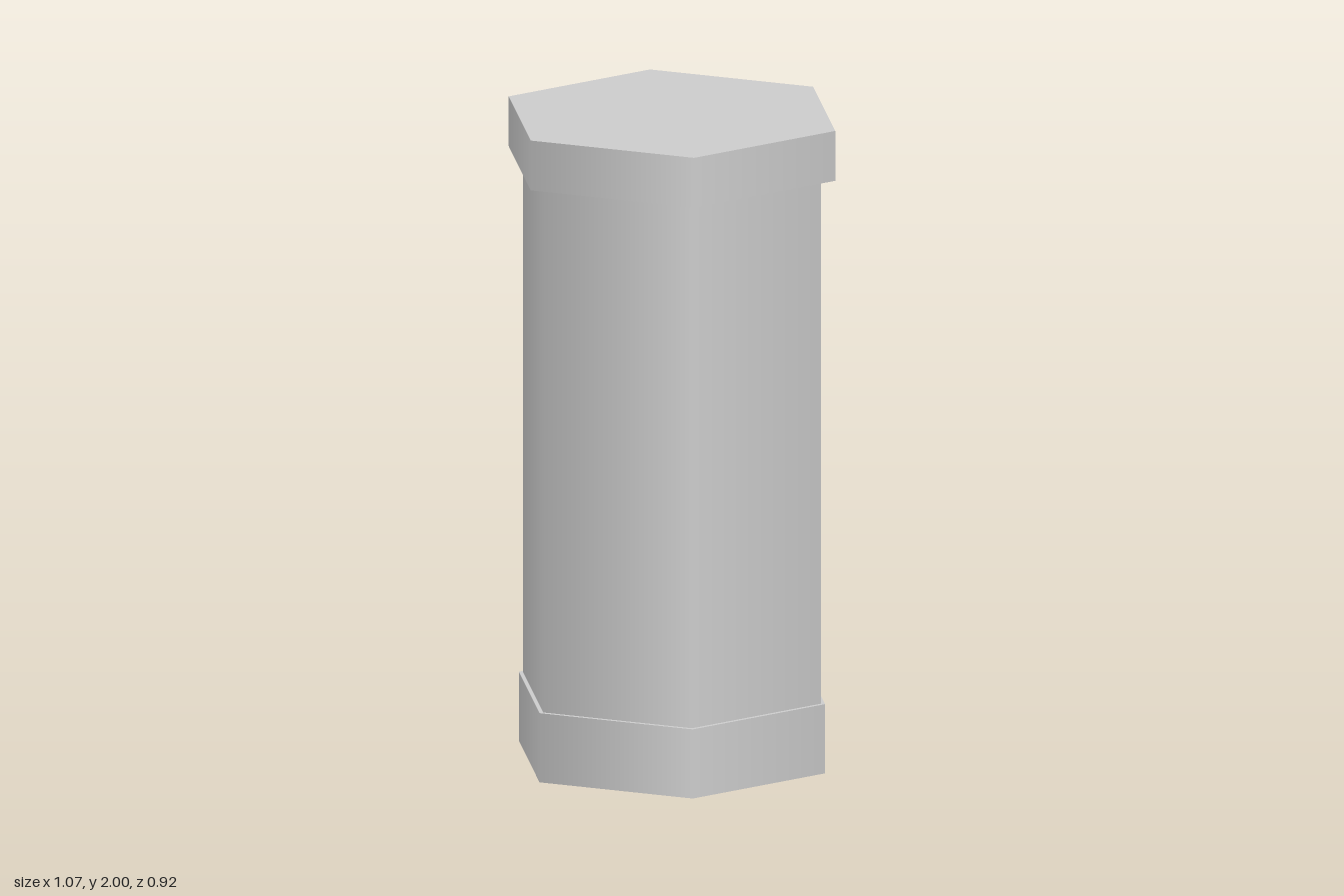
import * as THREE from 'three';

export function createModel() {
  const group = new THREE.Group();
  const material = new THREE.MeshStandardMaterial({ color: 0xcccccc });

  // Six-sided prism with smooth side normals and corners on the x axis
  function hexPrism(name, radius, bottom, top) {
    const geometry = new THREE.CylinderGeometry(radius, radius, top - bottom, 6, 1, false, Math.PI / 2);
    const mesh = new THREE.Mesh(geometry, material);
    mesh.name = name;
    mesh.position.y = (bottom + top) / 2;
    group.add(mesh);
  }

  hexPrism('base', 0.5, 0, 0.215);
  hexPrism('column', 0.486, 0.215, 1.845);
  hexPrism('cap', 0.533, 1.845, 2);

  return group;
}
